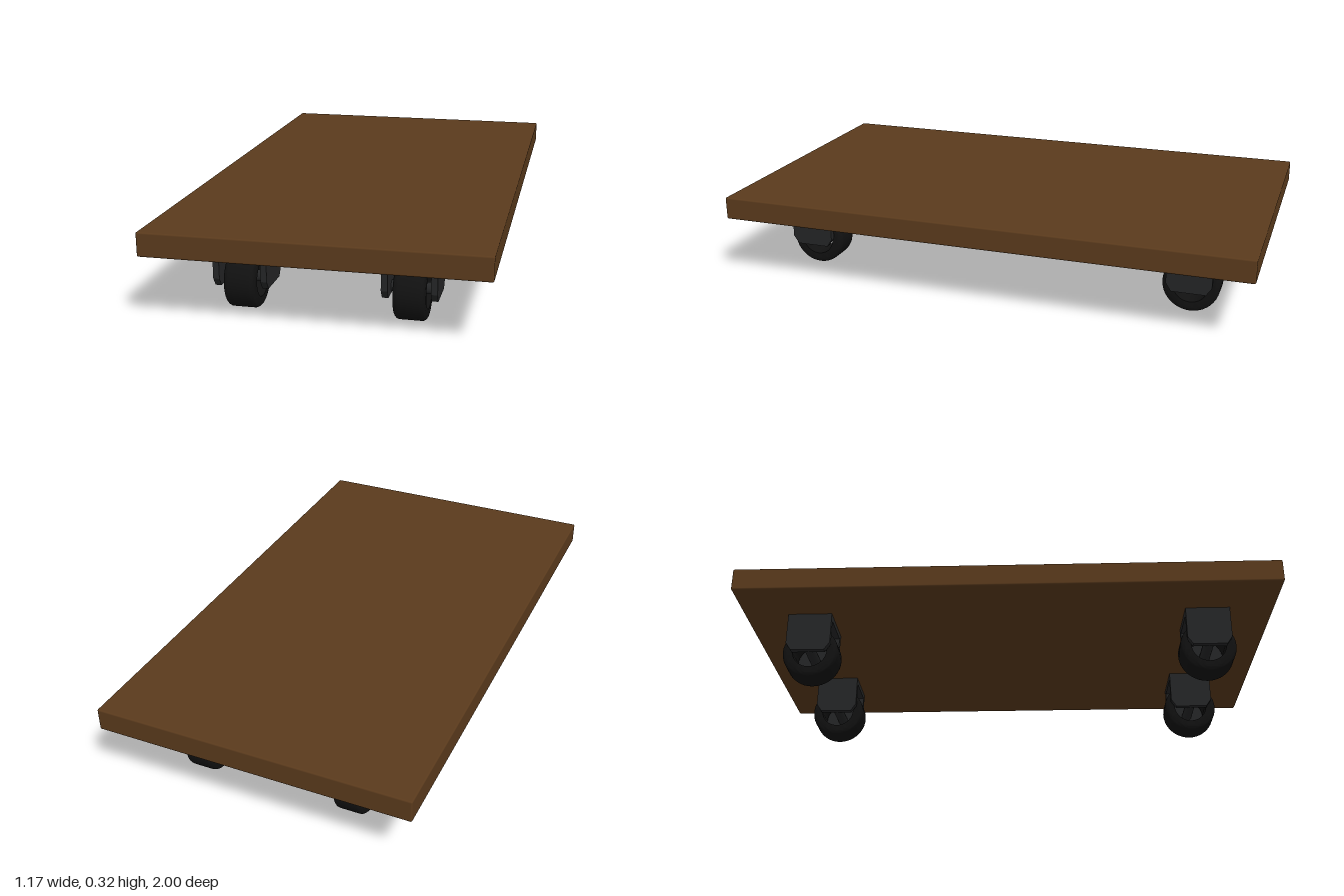
import * as THREE from 'three';
import { RoundedBoxGeometry } from 'three/addons/geometries/RoundedBoxGeometry.js';
import { toCreasedNormals } from 'three/addons/utils/BufferGeometryUtils.js';

const wood = new THREE.MeshStandardMaterial({ color: 0x5a3a1c });
const steel = new THREE.MeshStandardMaterial({ color: 0x242526 });
const rubber = new THREE.MeshStandardMaterial({ color: 0x111111 });

const AXLE_Y = 0.105;

function part(name, geometry, material, x = 0, y = 0, z = 0) {
  const mesh = new THREE.Mesh(geometry, material);
  mesh.name = name;
  mesh.position.set(x, y, z);
  return mesh;
}

// Fork cheek: a plate with clipped lower corners, centred on its thickness
function cheekGeometry(thickness) {
  const outline = [[-0.083, 0.24], [-0.083, 0.12], [-0.063, 0.09], [0.063, 0.09], [0.083, 0.12], [0.083, 0.24]];
  const shape = new THREE.Shape(outline.map(([u, v]) => new THREE.Vector2(u, v)));
  const geometry = new THREE.ExtrudeGeometry(shape, { depth: thickness, bevelEnabled: false });
  return geometry.translate(0, 0, -thickness / 2).rotateY(Math.PI / 2);
}

// Open ring with rounded tread shoulders, turned about the x axis
function wheelGeometry() {
  const inner = 0.065, outer = 0.105, half = 0.055, r = 0.018;
  const points = [new THREE.Vector2(inner, -half)];
  for (const side of [-1, 1]) {
    for (let i = 0; i <= 5; i++) {
      const a = (side < 0 ? i : 5 - i) / 5 * Math.PI / 2;
      points.push(new THREE.Vector2(outer - r + r * Math.sin(a), side * (half - r + r * Math.cos(a))));
    }
  }
  points.push(new THREE.Vector2(inner, half), new THREE.Vector2(inner, -half));
  return toCreasedNormals(new THREE.LatheGeometry(points, 40), 0.7).rotateZ(Math.PI / 2);
}

function createCaster() {
  const caster = new THREE.Group();
  caster.name = 'caster';
  const cheek = cheekGeometry(0.022);
  for (const side of [-1, 1]) caster.add(part('forkCheek', cheek, steel, side * 0.084));
  caster.add(part('forkTop', new THREE.BoxGeometry(0.146, 0.022, 0.166), steel, 0, 0.229));
  const axle = new THREE.CylinderGeometry(0.02, 0.02, 0.15, 20).rotateZ(Math.PI / 2);
  caster.add(part('axle', axle, steel, 0, 0.112));
  caster.add(part('wheel', wheelGeometry(), rubber, 0, AXLE_Y));
  return caster;
}

export function createModel() {
  const model = new THREE.Group();
  model.name = 'platformDolly';
  // Wooden deck with softly eased edges
  model.add(part('deck', new RoundedBoxGeometry(1.17, 0.085, 2, 2, 0.006), wood, 0, 0.2825));
  // Four casters near the corners
  for (const x of [-0.292, 0.292]) {
    for (const z of [-0.75, 0.75]) {
      const caster = createCaster();
      caster.position.set(x, 0, z);
      model.add(caster);
    }
  }
  return model;
}
